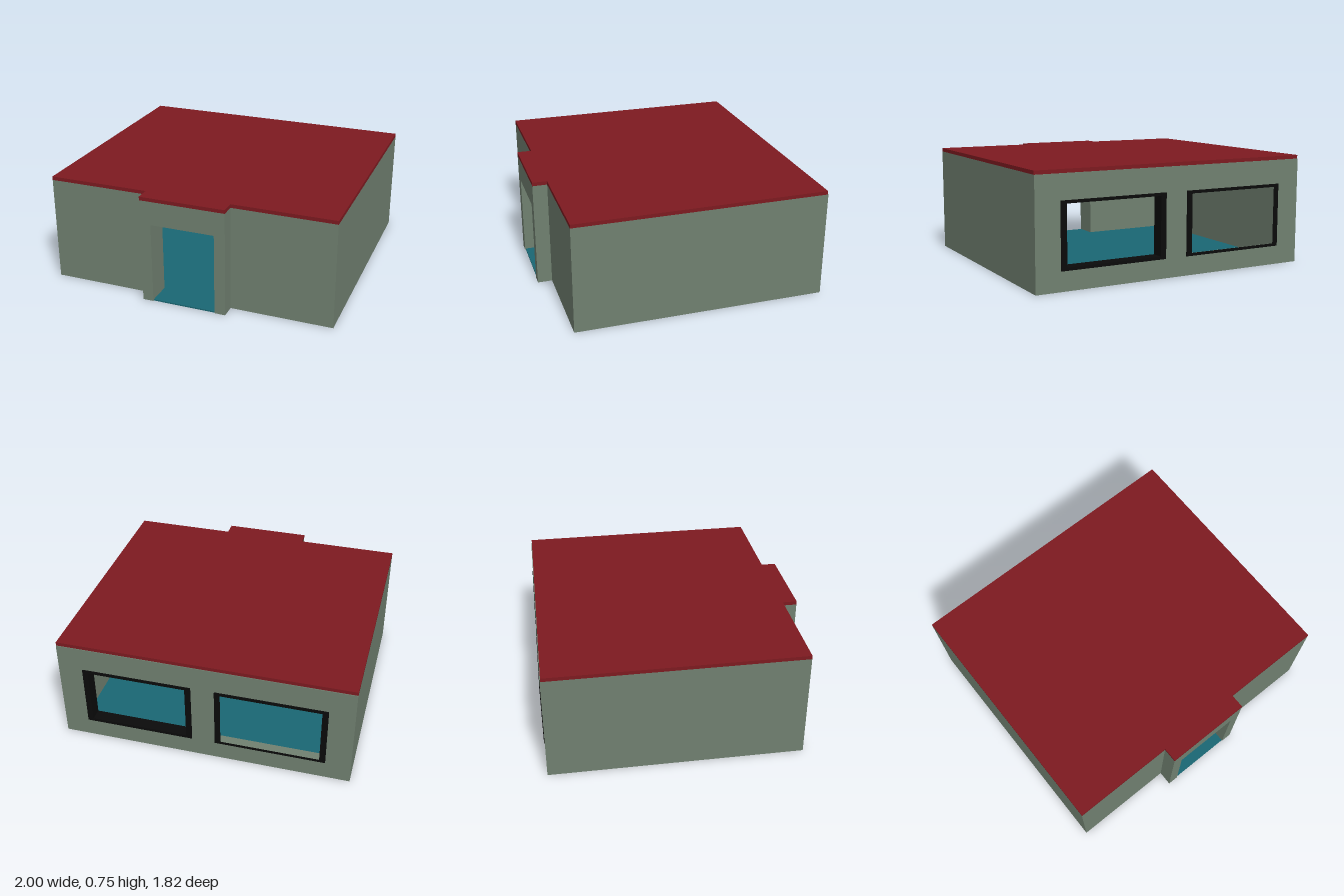
import * as THREE from 'three';

const WALL_H = 0.73, T = 0.075, BACK = -0.905, FRONT = 0.81, PORCH = 0.91;
const DOOR_W = 0.222, DOOR_H = 0.565, PORCH_W = 0.297;
const WIN = { x0: 0.08, x1: 0.83, y0: 0.13, y1: 0.565 };

const mat = (color) => new THREE.MeshStandardMaterial({ color, flatShading: true });

function rectPoints(x0, y0, x1, y1) {
  return [[x0, y0], [x1, y0], [x1, y1], [x0, y1]].map(([x, y]) => new THREE.Vector2(x, y));
}

// T-shaped plan (main block plus porch), laid flat between heights y0 and y1
function planSlab(halfW, back, front, porchHalfW, porchFront, y0, y1) {
  const half = [[halfW, back], [halfW, front], [porchHalfW, front], [porchHalfW, porchFront]];
  const outline = [...half, ...half.slice().reverse().map(([x, z]) => [-x, z])];
  const shape = new THREE.Shape(outline.map(([x, z]) => new THREE.Vector2(x, -z)));
  const geo = new THREE.ExtrudeGeometry(shape, { depth: y1 - y0, bevelEnabled: false });
  return geo.rotateX(-Math.PI / 2).translate(0, y0, 0);
}

export function createModel() {
  const model = new THREE.Group();
  model.name = 'house';
  const wallMat = mat(0x708070), roofMat = mat(0x7d1a20);
  const floorMat = mat(0x1a6773), frameMat = mat(0x0a0a0a);

  const add = (name, geo, material) => {
    const mesh = new THREE.Mesh(geo, material);
    mesh.name = name;
    model.add(mesh);
  };
  const box = (name, x0, x1, y0, y1, z0, z1, material) => {
    const geo = new THREE.BoxGeometry(x1 - x0, y1 - y0, z1 - z0);
    add(name, geo.translate((x0 + x1) / 2, (y0 + y1) / 2, (z0 + z1) / 2), material);
  };

  // Roof and floor follow the plan; the floor runs out through the doorway
  add('roof', planSlab(1, -0.9, FRONT, PORCH_W, PORCH, WALL_H, 0.755), roofMat);
  add('floor', planSlab(1 - T, BACK + T, FRONT - T, DOOR_W, PORCH - 0.005, 0.001, 0.01), floorMat);

  // Back wall with two window openings
  const back = new THREE.Shape(rectPoints(-1, 0, 1, WALL_H));
  for (const s of [-1, 1]) {
    back.holes.push(new THREE.Path(rectPoints(s * WIN.x0, WIN.y0, s * WIN.x1, WIN.y1)));
  }
  const backGeo = new THREE.ExtrudeGeometry(back, { depth: T, bevelEnabled: false });
  add('backWall', backGeo.translate(0, 0, BACK), wallMat);

  // Mirrored side walls, front walls, door jambs and window frames
  for (const s of [-1, 1]) {
    const side = s > 0 ? 'left' : 'right';
    const span = (a, b) => (s > 0 ? [a, b] : [-b, -a]);
    box(side + 'SideWall', ...span(1 - T, 1), 0, WALL_H, BACK + T, FRONT, wallMat);
    box(side + 'FrontWall', ...span(PORCH_W, 1 - T), 0, WALL_H, FRONT - T, FRONT, wallMat);
    box(side + 'DoorJamb', ...span(DOOR_W, PORCH_W), 0, WALL_H, FRONT - T, PORCH, wallMat);

    const frame = new THREE.Shape(rectPoints(s * WIN.x0, WIN.y0, s * WIN.x1, WIN.y1));
    frame.holes.push(new THREE.Path(
      rectPoints(s * (WIN.x0 + 0.04), WIN.y0 + 0.02, s * (WIN.x1 - 0.04), WIN.y1 - 0.02)));
    const frameGeo = new THREE.ExtrudeGeometry(frame, { depth: T + 0.01, bevelEnabled: false });
    add(side + 'WindowFrame', frameGeo.translate(0, 0, -0.912), frameMat);
  }

  // Lintel over the open doorway
  box('doorLintel', -DOOR_W, DOOR_W, DOOR_H, WALL_H, FRONT - T, PORCH, wallMat);

  return model;
}
